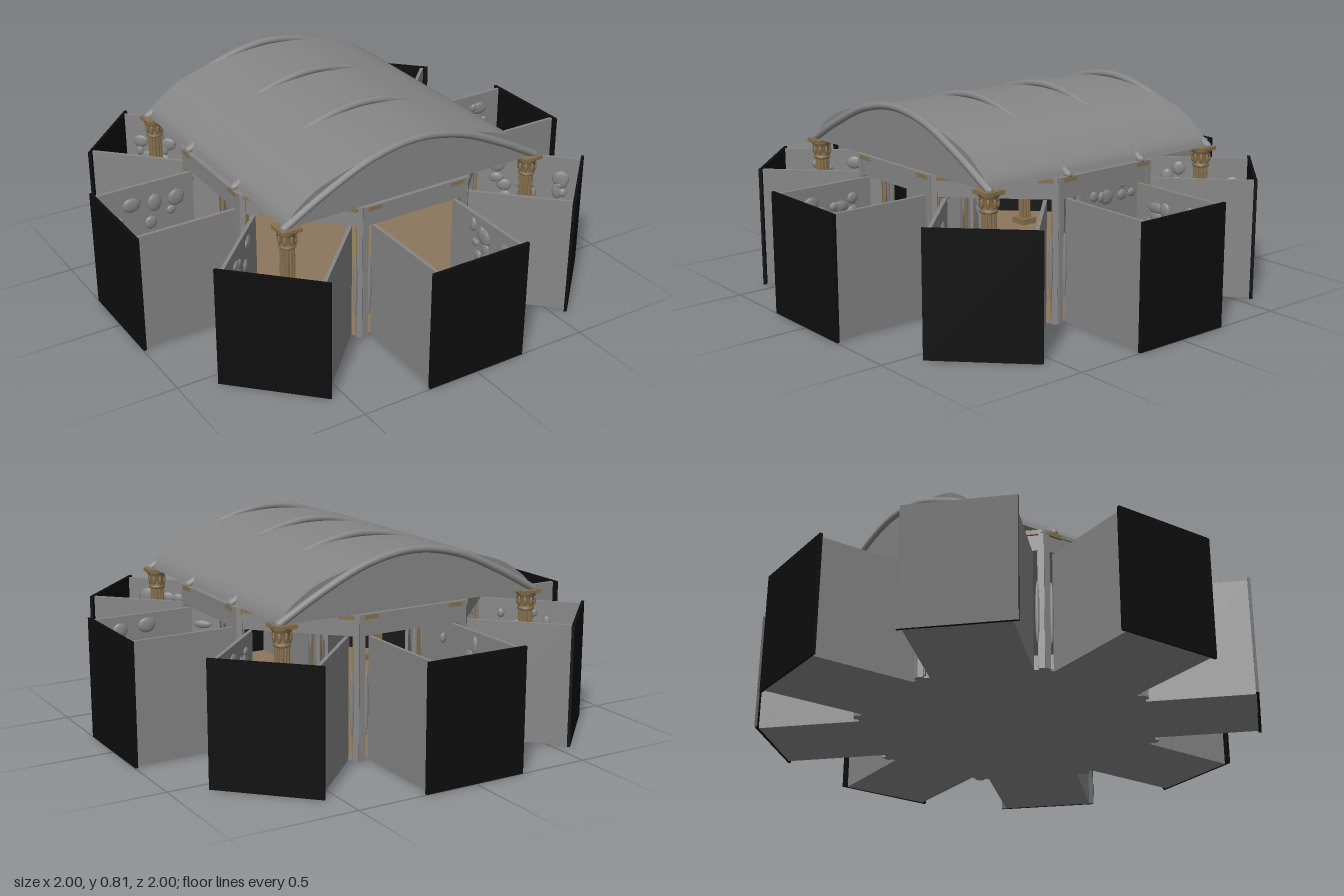
import * as THREE from 'three';

const mat = (name, color, extra = {}) => {
  const m = new THREE.MeshStandardMaterial({ color, ...extra });
  m.name = name;
  return m;
};

export function createModel() {
  const grey = mat('stoneGrey', 0x868686);
  const black = mat('panelBlack', 0x0e0e0e);
  const brown = mat('floorBrown', 0x8c755e);
  const tan = mat('columnTan', 0x86704e);

  const model = new THREE.Group();
  model.name = 'pavilion';

  const add = (parent, name, geo, m, x = 0, y = 0, z = 0) => {
    const mesh = new THREE.Mesh(geo, m);
    mesh.name = name;
    mesh.position.set(x, y, z);
    parent.add(mesh);
    return mesh;
  };
  const box = (parent, name, m, w, h, d, x, y, z) =>
    add(parent, name, new THREE.BoxGeometry(w, h, d), m, x, y, z);

  let seed = 7;
  const rand = () => (seed = (seed * 16807) % 2147483647) / 2147483647;

  const HALL = 0.57;                              // octagon apothem
  const CORNER = HALL * Math.tan(Math.PI / 8);    // half side of octagon
  const WALL_H = 0.49, EAVE = 0.575;

  // Star-shaped floor: octagonal hall with eight projecting bays
  const outline = [];
  for (let k = 0; k < 8; k++) {
    const a = k * Math.PI / 4, c = Math.cos(a), s = Math.sin(a);
    for (const [r, l] of [[HALL, -0.195], [0.99, -0.195], [0.99, 0.195], [HALL, 0.195], [HALL, CORNER]])
      outline.push(new THREE.Vector2(r * c - l * s, r * s + l * c));
  }
  const floorShape = new THREE.Shape(outline);
  const slab = new THREE.ExtrudeGeometry(floorShape, { depth: 0.008, bevelEnabled: false });
  slab.rotateX(-Math.PI / 2);
  add(model, 'floorSlab', slab, grey);
  const top = new THREE.ShapeGeometry(floorShape);
  top.rotateX(-Math.PI / 2);
  add(model, 'floorCovering', top, brown, 0, 0.01, 0);

  // Eight bays, each built along +z and turned into place
  const lump = new THREE.IcosahedronGeometry(1, 1);
  for (let k = 0; k < 8; k++) {
    const bay = new THREE.Group();
    bay.name = 'bay' + (k + 1);
    bay.rotation.y = k * Math.PI / 4;
    model.add(bay);

    box(bay, 'endPanel', black, 0.43, WALL_H, 0.012, 0, WALL_H / 2, 0.994);
    box(bay, 'lintel', grey, CORNER * 2, EAVE - WALL_H, 0.016, 0, (EAVE + WALL_H) / 2, HALL);
    box(bay, 'lintelRail', grey, CORNER * 2, 0.014, 0.024, 0, EAVE - 0.007, HALL + 0.004);

    for (const s of [-1, 1]) {
      box(bay, 'sideWall', grey, 0.014, WALL_H - 0.008, 0.42, s * 0.188, WALL_H / 2, 0.779);
      box(bay, 'doorPost', grey, 0.022, EAVE, 0.026, s * (CORNER - 0.008), EAVE / 2, HALL);
      box(bay, 'postLining', tan, 0.006, EAVE - 0.02, 0.018, s * (CORNER - 0.021), EAVE / 2, HALL - 0.004);
      box(bay, 'lintelBracket', tan, 0.06, 0.016, 0.012, s * 0.19, EAVE - 0.012, HALL + 0.012);

      // Slender ornament beside each post
      const ornament = add(bay, 'postOrnament', new THREE.SphereGeometry(1, 12, 10), grey,
        s * 0.212, 0.23, HALL + 0.012);
      ornament.scale.set(0.009, 0.13, 0.01);

      // Carved relief on the inner wall face
      for (let i = 0; i < 14; i++) {
        const relief = add(bay, 'wallRelief', lump, grey,
          s * 0.181, 0.15 + 0.29 * rand(), 0.64 + 0.3 * rand());
        relief.scale.set(0.01, 0.015 + 0.025 * rand(), 0.015 + 0.03 * rand());
      }
    }
  }

  // Barrel roof with closed gables
  const curve = new THREE.SplineCurve([
    [0.568, EAVE], [0.55, 0.612], [0.5, 0.657], [0.4, 0.714], [0.2, 0.768], [0, 0.785],
    [-0.2, 0.768], [-0.4, 0.714], [-0.5, 0.657], [-0.55, 0.612], [-0.568, EAVE],
  ].map(p => new THREE.Vector2(...p)));
  const roof = new THREE.ExtrudeGeometry(new THREE.Shape(curve.getPoints(48)),
    { depth: 1.14, bevelEnabled: false });
  roof.translate(0, 0, -0.57);
  add(model, 'barrelRoof', roof, grey);

  // Arched ribs: two on the gables, two breaking through the roof
  const arch = new THREE.CatmullRomCurve3([
    [-0.575, 0.58], [-0.4, 0.676], [-0.2, 0.763], [0, 0.796], [0.2, 0.763], [0.4, 0.676], [0.575, 0.58],
  ].map(([x, y]) => new THREE.Vector3(x, y, 0)));
  const rib = new THREE.TubeGeometry(arch, 48, 0.016, 10, false);
  for (const z of [-0.57, -0.19, 0.19, 0.57]) {
    add(model, 'roofRib', rib, grey, 0, 0, z);
    for (const x of [-0.575, 0.575])
      add(model, 'ribEnd', new THREE.SphereGeometry(0.016, 10, 8), grey, x, 0.58, z);
  }

  // Fluted corner columns with flared capitals
  const flutes = new THREE.Shape();
  for (let i = 0; i <= 48; i++) {
    const a = i / 48 * Math.PI * 2, r = i % 4 < 2 ? 0.029 : 0.025;
    flutes[i ? 'lineTo' : 'moveTo'](r * Math.cos(a), r * Math.sin(a));
  }
  const shaft = new THREE.ExtrudeGeometry(flutes, { depth: 0.46, bevelEnabled: false });
  shaft.rotateX(-Math.PI / 2);
  const bell = new THREE.LatheGeometry([[0.028, 0], [0.034, 0.004], [0.034, 0.012], [0.029, 0.016],
    [0.03, 0.035], [0.038, 0.05], [0.033, 0.052], [0.046, 0.075]].map(p => new THREE.Vector2(...p)), 16);
  for (const x of [-0.555, 0.555]) for (const z of [-0.555, 0.555]) {
    const column = new THREE.Group();
    column.name = 'cornerColumn';
    column.position.set(x, 0, z);
    model.add(column);
    box(column, 'columnBase', tan, 0.08, 0.03, 0.08, 0, 0.023, 0);
    add(column, 'columnShaft', shaft, tan, 0, 0.035, 0);
    add(column, 'capitalBell', bell, tan, 0, 0.492, 0);
    box(column, 'capitalTop', tan, 0.085, 0.016, 0.085, 0, 0.57, 0);
    for (let i = 0; i < 8; i++) {
      const a = i * Math.PI / 4;
      const leaf = add(column, 'capitalLeaf', new THREE.SphereGeometry(1, 8, 6), tan,
        0.033 * Math.cos(a), 0.53, 0.033 * Math.sin(a));
      leaf.scale.set(0.007, 0.02, 0.007);
    }
  }
  return model;
}
